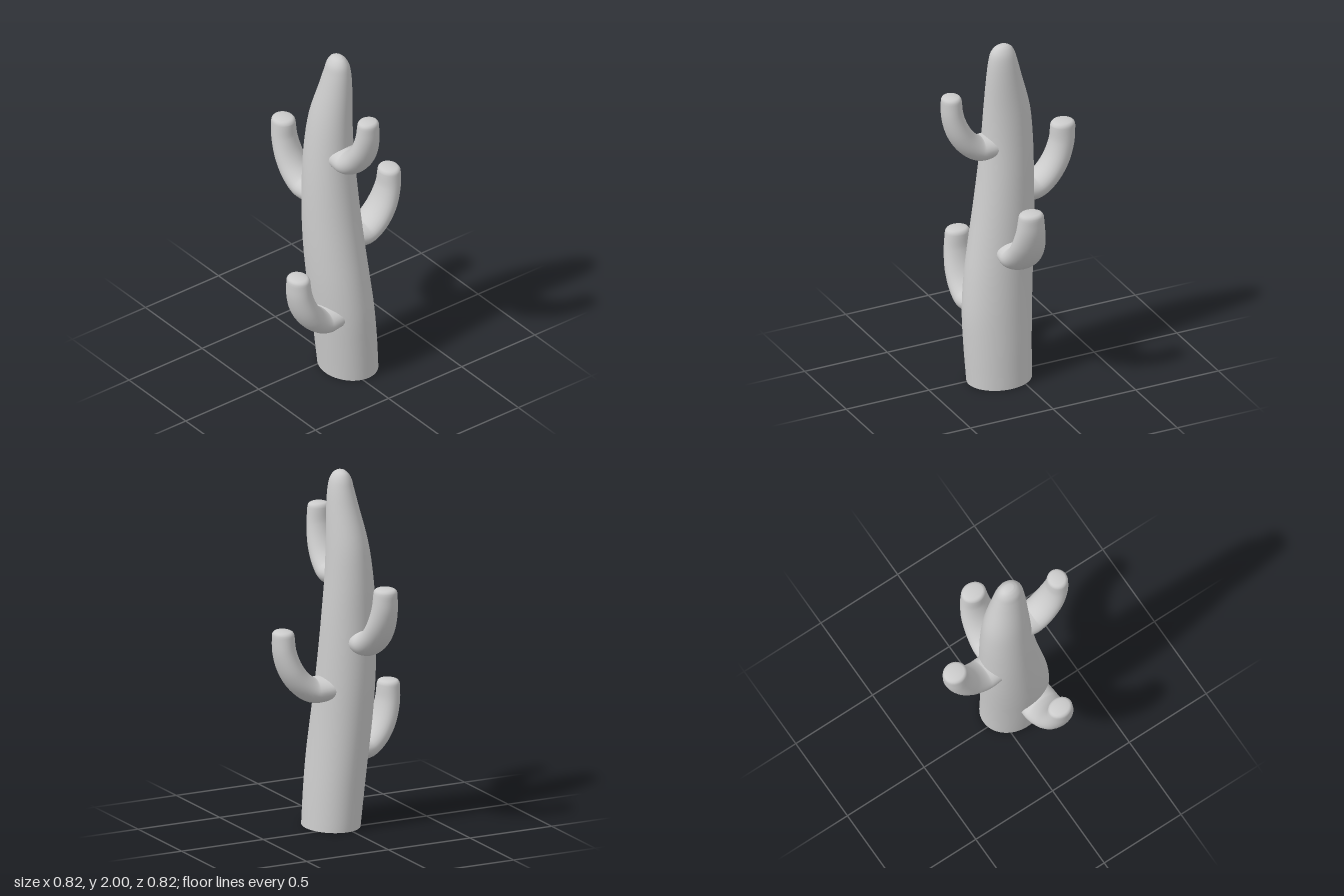
import * as THREE from 'three';

const V = (x, y, z) => new THREE.Vector3(x, y, z);
const material = new THREE.MeshStandardMaterial({ color: 0xcccccc });

// Smooth skin over elliptical rings {c, a, b}; a x b points along the path.
function loft(rings, end, sides) {
  const pos = [], idx = [];
  const addRing = ({ c, a, b }) => {
    for (let j = 0; j < sides; j++) {
      const t = (j / sides) * Math.PI * 2;
      const p = c.clone().addScaledVector(a, Math.cos(t)).addScaledVector(b, Math.sin(t));
      pos.push(p.x, p.y, p.z);
    }
  };
  rings.forEach(addRing);
  for (let i = 0; i < rings.length - 1; i++) {
    for (let j = 0; j < sides; j++) {
      const k = (j + 1) % sides;
      const p = i * sides + j, q = i * sides + k;
      idx.push(p, q, q + sides, p, q + sides, p + sides);
    }
  }
  // rounded end closes on one point
  const tip = pos.length / 3, last = tip - sides;
  pos.push(end.x, end.y, end.z);
  for (let j = 0; j < sides; j++) idx.push(last + j, last + (j + 1) % sides, tip);
  // flat start cap with its own vertices, for a crisp edge
  const base = pos.length / 3;
  addRing(rings[0]);
  pos.push(rings[0].c.x, rings[0].c.y, rings[0].c.z);
  for (let j = 0; j < sides; j++) idx.push(base + (j + 1) % sides, base + j, base + sides);
  const g = new THREE.BufferGeometry();
  g.setAttribute('position', new THREE.Float32BufferAttribute(pos, 3));
  g.setIndex(idx);
  g.computeVertexNormals();
  return g;
}

function createTrunk() {
  // height, x min, x max, z min, z max
  const sections = [
    [0, -0.09, 0.277, -0.19, 0.118],
    [0.2, -0.097, 0.285, -0.177, 0.14],
    [0.4, -0.108, 0.286, -0.16, 0.16],
    [0.6, -0.121, 0.267, -0.143, 0.177],
    [0.8, -0.133, 0.236, -0.13, 0.185],
    [1.0, -0.138, 0.204, -0.12, 0.185],
    [1.2, -0.137, 0.177, -0.11, 0.178],
    [1.4, -0.132, 0.157, -0.098, 0.161],
    [1.6, -0.112, 0.148, -0.088, 0.134],
    [1.8, -0.057, 0.141, -0.077, 0.092],
    [1.9, -0.03, 0.133, -0.066, 0.07],
    [1.95, -0.015, 0.122, -0.054, 0.058],
    [1.98, 0.002, 0.102, -0.037, 0.04],
    [1.995, 0.024, 0.078, -0.02, 0.022],
  ];
  const low = new THREE.CatmullRomCurve3(sections.map(([y, x0, , z0]) => V(x0, y, z0)));
  const high = new THREE.CatmullRomCurve3(sections.map(([y, , x1, , z1]) => V(x1, y, z1)));
  const rings = [], steps = 52;
  for (let i = 0; i <= steps; i++) {
    const p = low.getPoint(i / steps), q = high.getPoint(i / steps);
    rings.push({
      c: p.clone().add(q).multiplyScalar(0.5),
      a: V(0, 0, (q.z - p.z) / 2),
      b: V((q.x - p.x) / 2, 0, 0),
    });
  }
  return loft(rings, V(0.05, 2, 0), 48);
}

// Arm growing out from start, bending up to stand over tip.
function createArm({ start, tip, wide, thick }) {
  const reach = tip.clone().sub(start).setY(0);
  const lateral = V(0, 1, 0).cross(reach).normalize();
  // fraction of reach, rise, taper
  const stations = [
    [-0.12, 0, 0], [0.06, -0.004, 0], [0.32, -0.003, 0], [0.6, 0.045, 0.1],
    [0.83, 0.125, 0.3], [0.97, 0.225, 0.7], [1, 0.315, 1],
  ];
  const path = new THREE.CatmullRomCurve3(
    stations.map(([u, h]) => start.clone().addScaledVector(reach, u).add(V(0, h, 0))));
  const taper = new THREE.CatmullRomCurve3(stations.map((s) => V(s[2], 0, 0)));
  const rings = [], steps = 30;
  const addRing = (c, dir, k, s) => rings.push({
    c,
    a: lateral.clone().multiplyScalar(s * THREE.MathUtils.lerp(wide[0], wide[1], k)),
    b: dir.clone().cross(lateral).normalize().multiplyScalar(s * THREE.MathUtils.lerp(thick[0], thick[1], k)),
  });
  for (let i = 0; i <= steps; i++) {
    const t = i / steps;
    addRing(path.getPoint(t), path.getTangent(t), taper.getPoint(t).x, 1);
  }
  // softly rounded tip
  const top = path.getPoint(1), up = V(0, 1, 0);
  for (const [h, s] of [[0.01, 0.98], [0.018, 0.93], [0.025, 0.84], [0.029, 0.72], [0.033, 0.4]]) {
    addRing(top.clone().add(V(0, h, 0)), up, 1, s);
  }
  return loft(rings, top.clone().add(V(0, 0.034, 0)), 28);
}

export function createModel() {
  const cactus = new THREE.Group();
  cactus.name = 'cactus';
  const add = (name, geometry) => {
    const mesh = new THREE.Mesh(geometry, material);
    mesh.name = name;
    cactus.add(mesh);
  };
  add('trunk', createTrunk());

  const arms = {
    leftArm: { start: V(0.12, 1.396, 0.026), tip: V(0.352, 0, 0.025), wide: [0.091, 0.061], thick: [0.068, 0.056] },
    rightArm: { start: V(-0.085, 1.073, 0.05), tip: V(-0.343, 0, 0.066), wide: [0.091, 0.064], thick: [0.069, 0.07] },
    frontArm: { start: V(0.137, 0.408, 0.12), tip: V(0.153, 0, 0.348), wide: [0.108, 0.071], thick: [0.069, 0.06] },
    backArm: { start: V(0.037, 0.792, -0.105), tip: V(0.056, 0, -0.348), wide: [0.107, 0.071], thick: [0.069, 0.06] },
  };
  for (const [name, spec] of Object.entries(arms)) add(name, createArm(spec));
  return cactus;
}
